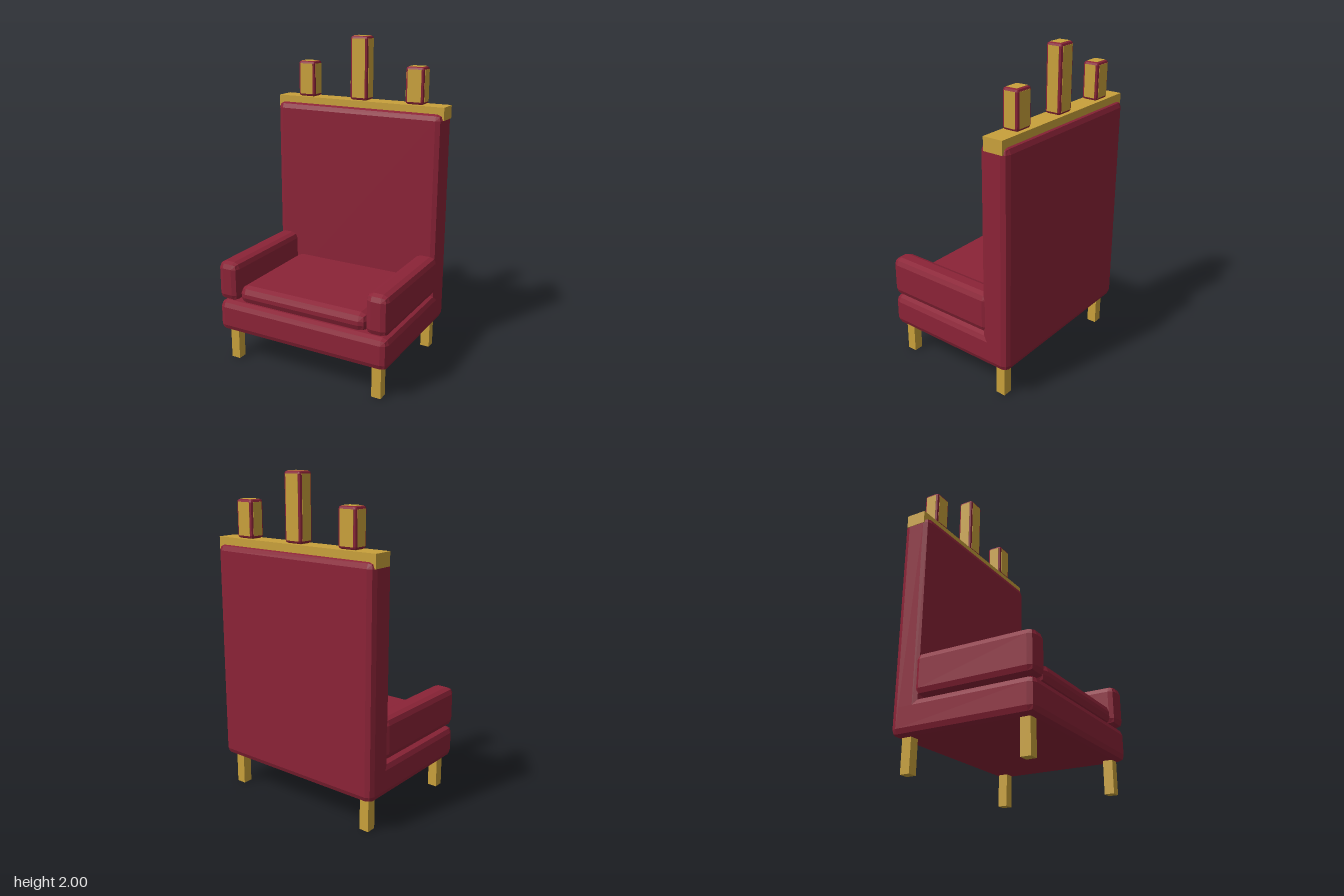
import * as THREE from 'three';
import { RoundedBoxGeometry } from 'three/addons/geometries/RoundedBoxGeometry.js';

export function createModel() {
  const group = new THREE.Group();
  const red = new THREE.MeshStandardMaterial({ color: 0x8b2337 });
  red.name = 'red upholstery';
  const gold = new THREE.MeshStandardMaterial({ color: 0xc9a13b });
  gold.name = 'gold';

  const add = (name, geometry, material, [x0, x1], [y0, y1], [z0, z1], parent = group) => {
    const mesh = new THREE.Mesh(geometry, material);
    mesh.name = name;
    mesh.position.set((x0 + x1) / 2, (y0 + y1) / 2, (z0 + z1) / 2);
    parent.add(mesh);
  };
  const box = (name, x, y, z, parent) =>
    add(name, new THREE.BoxGeometry(x[1] - x[0], y[1] - y[0], z[1] - z[0]), gold, x, y, z, parent);
  // Padded block with faceted, two-step bevels
  const padded = (name, x, y, z, radius, parent) => {
    const geometry = new RoundedBoxGeometry(x[1] - x[0], y[1] - y[0], z[1] - z[0], 1, radius);
    geometry.computeVertexNormals();
    add(name, geometry, red, x, y, z, parent);
  };

  // Upholstered body
  padded('seatBase', [-0.58, 0.58], [0.2, 0.4], [-0.44, 0.447], 0.04);
  padded('backrest', [-0.58, 0.58], [0.2, 1.56], [-0.447, -0.265], 0.04);
  padded('seatCushion', [-0.437, 0.437], [0.4, 0.515], [-0.3, 0.43], 0.045);
  for (const side of [-1, 1]) {
    const x = side * 0.51;
    padded(side > 0 ? 'leftArm' : 'rightArm', [x - 0.07, x + 0.07], [0.41, 0.66], [-0.31, 0.447], 0.04);
    // Square legs
    for (const [name, z] of [['front', 0.37], ['back', -0.365]]) {
      box(name + (side > 0 ? 'LeftLeg' : 'RightLeg'), [side * 0.5 - 0.03, side * 0.5 + 0.03], [0, 0.2], [z - 0.03, z + 0.03]);
    }
  }

  // Gold rail across the top
  box('topRail', [-0.582, 0.582], [1.52, 1.6], [-0.423, -0.298]);

  // Crown posts: red bevelled cores with gold panels on every face
  for (const [name, x, top] of [['rightPost', -0.38, 1.83], ['middlePost', 0, 2], ['leftPost', 0.38, 1.83]]) {
    const post = new THREE.Group();
    post.name = name;
    group.add(post);
    const size = [[x - 0.061, x + 0.061], [1.601, top - 0.001], [-0.411, -0.309]];
    padded('postCore', ...size, 0.017, post);
    for (let axis = 0; axis < 3; axis++) {
      const panel = size.map(([a, b], i) => (i === axis ? [a - 0.001, b + 0.001] : [a + 0.016, b - 0.016]));
      box('postPanels', ...panel, post);
    }
  }
  return group;
}
